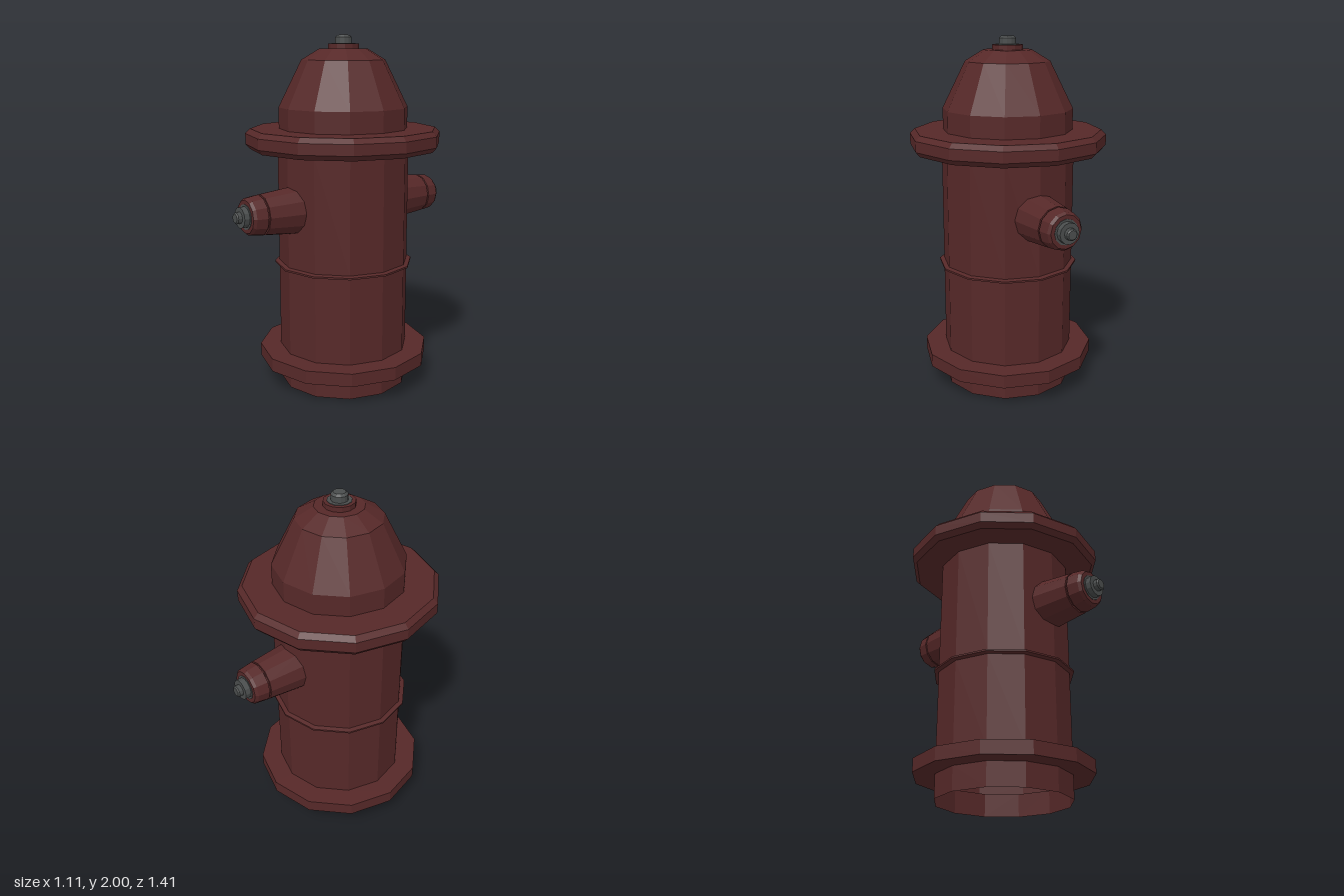
import * as THREE from 'three';

export function createModel() {
  const red = new THREE.MeshStandardMaterial({ color: 0x562828, flatShading: true, side: THREE.DoubleSide });
  red.name = 'dark red paint';
  const grey = new THREE.MeshStandardMaterial({ color: 0x4a4d4d, flatShading: true, side: THREE.DoubleSide });
  grey.name = 'dark grey metal';

  const model = new THREE.Group();
  model.name = 'hydrant';

  // Turned part from [radius, height] pairs, bottom to top
  function turned(name, profile, sides, material, parent) {
    const points = profile.map(([r, y]) => new THREE.Vector2(r, y));
    const mesh = new THREE.Mesh(new THREE.LatheGeometry(points, sides), material);
    mesh.name = name;
    parent.add(mesh);
    return mesh;
  }

  // Hollow barrel, open at the bottom, with foot flange and thin middle band
  turned('barrel', [
    [0.375, 0], [0.375, 0.13], [0.495, 0.13], [0.495, 0.205], [0.375, 0.205],
    [0.375, 0.7], [0.4, 0.706], [0.4, 0.716], [0.375, 0.722], [0.375, 1.372],
  ], 12, red, model);

  // Bevelled collar under the bonnet
  turned('collar', [
    [0.375, 1.372], [0.53, 1.372], [0.555, 1.4], [0.555, 1.46], [0.528, 1.487], [0.366, 1.487],
  ], 12, red, model);

  // Faceted domed bonnet
  turned('bonnet', [
    [0.366, 1.487], [0.366, 1.605], [0.236, 1.865], [0.135, 1.926], [0, 1.926],
  ], 12, red, model);

  // Top nut on its seat
  turned('topSeat', [[0.086, 1.926], [0.086, 1.953], [0, 1.953]], 12, red, model);
  turned('topWasher', [[0.066, 1.953], [0.066, 1.956], [0, 1.956]], 12, grey, model);
  turned('topNut', [[0.046, 1.955], [0.046, 1.988], [0.034, 2], [0, 2]], 12, grey, model);

  // Matching outlets at front and back
  for (const side of [1, -1]) {
    const outlet = new THREE.Group();
    outlet.name = side > 0 ? 'frontOutlet' : 'backOutlet';
    outlet.position.y = 1.05;
    outlet.rotation.x = side * Math.PI / 2;
    turned('outletPipe', [[0.135, 0.34], [0.114, 0.55], [0.104, 0.55]], 12, red, outlet);
    turned('outletCap', [
      [0.104, 0.55], [0.104, 0.556], [0.113, 0.56], [0.104, 0.625], [0.092, 0.641], [0, 0.641],
    ], 12, red, outlet);
    turned('outletWasher', [
      [0.07, 0.641], [0.07, 0.644], [0.058, 0.644], [0.058, 0.675], [0, 0.675],
    ], 12, grey, outlet);
    turned('outletNut', [[0.032, 0.675], [0.032, 0.697], [0.025, 0.704], [0, 0.704]], 12, grey, outlet);
    model.add(outlet);
  }

  return model;
}
